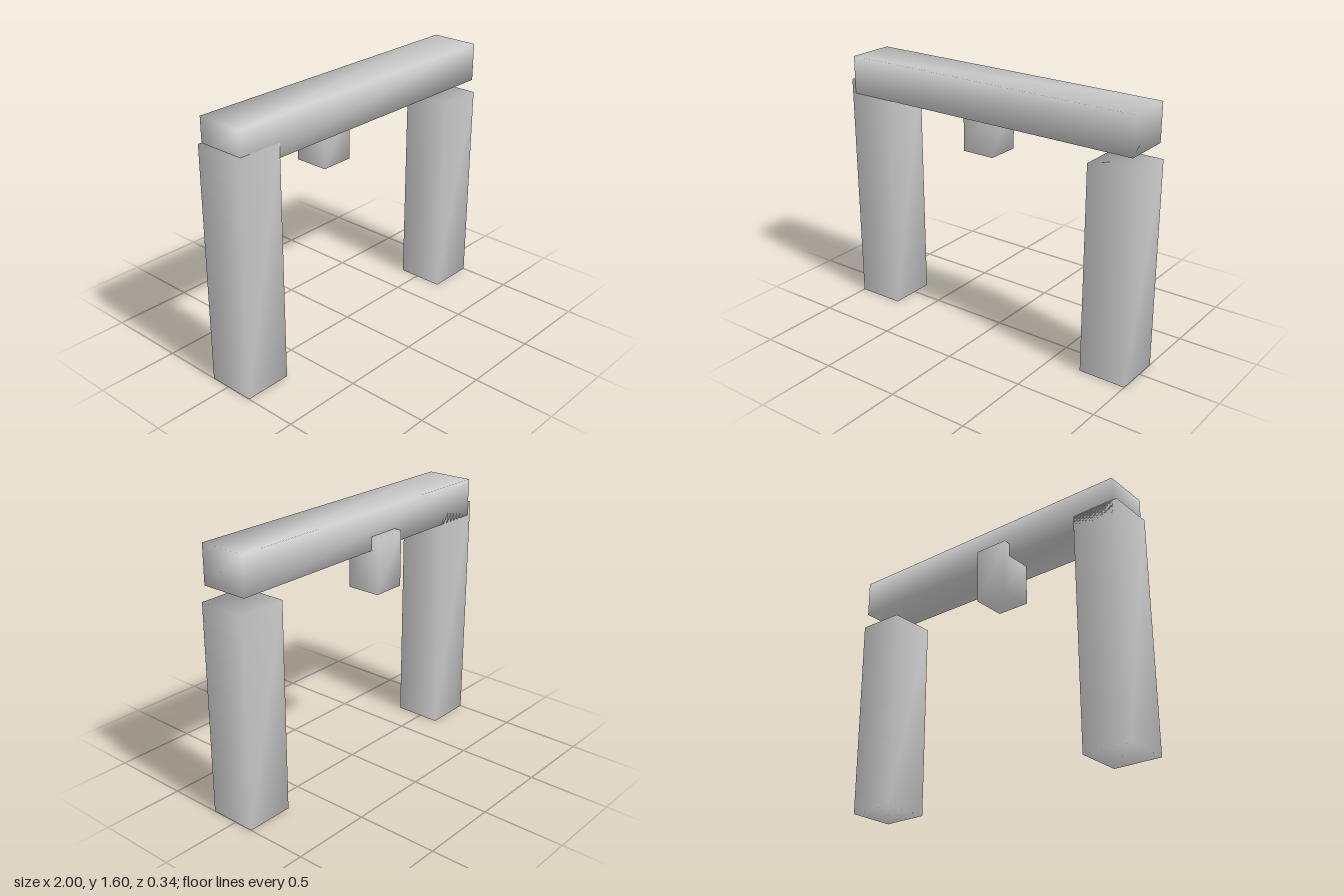
import * as THREE from 'three';
import { mergeVertices } from 'three/addons/utils/BufferGeometryUtils.js';

const material = new THREE.MeshStandardMaterial({ color: 0xcccccc });

// Box between two corners, with normals shared across its edges for soft shading
function softBox(name, min, max) {
  const size = max.map((v, i) => v - min[i]);
  let geometry = new THREE.BoxGeometry(...size);
  geometry.deleteAttribute('normal');
  geometry.deleteAttribute('uv');
  geometry = mergeVertices(geometry);
  geometry.computeVertexNormals();
  const mesh = new THREE.Mesh(geometry, material);
  mesh.name = name;
  mesh.position.set(...max.map((v, i) => (v + min[i]) / 2));
  return mesh;
}

export function createModel() {
  const group = new THREE.Group();
  group.name = 'gateway';
  const back = -0.124, front = 0.172;

  group.add(
    // Uprights: the right one rises into the beam, the left one stops short of it
    softBox('rightPost', [-1, 0, back], [-0.704, 1.452, front]),
    softBox('leftPost', [0.704, 0, back], [1, 1.28, front]),
    // Beam across the top
    softBox('crossBeam', [-0.976, 1.367, back], [0.976, 1.6, front]),
    // Small block hanging beneath the beam, set toward the back
    softBox('hangingBlock', [-0.234, 1.11, -0.172], [-0.023, 1.451, 0.04]),
  );
  return group;
}
